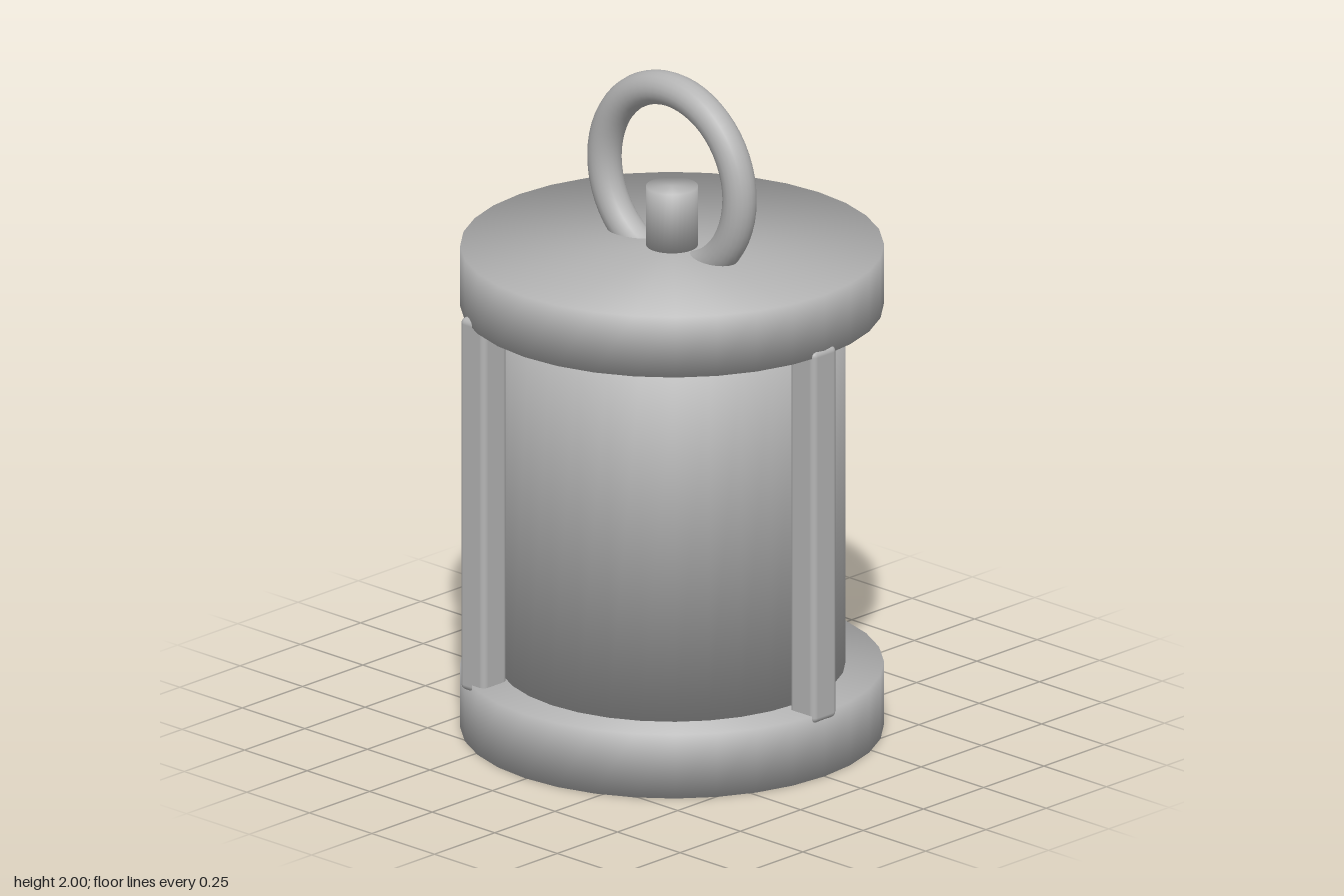
import * as THREE from 'three';
import { RoundedBoxGeometry } from 'three/addons/geometries/RoundedBoxGeometry.js';

const AXIS_X = -0.005; // the lantern axis, offset so the whole model is centred

export function createModel() {
  const group = new THREE.Group();
  const metal = new THREE.MeshStandardMaterial({ color: 0xb4b4b4 });
  metal.name = 'grey metal';

  function add(name, geometry, x, y, z) {
    const mesh = new THREE.Mesh(geometry, metal);
    mesh.name = name;
    mesh.position.set(x, y, z);
    group.add(mesh);
    return mesh;
  }

  // Cylinder whose rim normals blend the cap into the side for soft shading
  function softCylinder(name, radius, bottom, top) {
    const geometry = new THREE.CylinderGeometry(radius, radius, top - bottom, 32);
    const p = geometry.attributes.position;
    const n = geometry.attributes.normal;
    for (let i = 0; i < p.count; i++) {
      n.setXYZ(i,
        p.getX(i) / radius * Math.SQRT1_2,
        Math.sign(p.getY(i)) * Math.SQRT1_2,
        p.getZ(i) / radius * Math.SQRT1_2);
    }
    return add(name, geometry, AXIS_X, (bottom + top) / 2, 0);
  }

  // Base, glass body, lid and the stem on the lid
  softCylinder('base', 0.61, 0, 0.195);
  softCylinder('body', 0.5, 0.19, 1.295);
  softCylinder('lid', 0.61, 1.29, 1.475);
  softCylinder('stem', 0.075, 1.47, 1.655);

  // Carrying ring, sunk into the lid
  add('carryingRing', new THREE.TorusGeometry(0.27, 0.05, 20, 56), AXIS_X, 1.68, 0);

  // Three upright bars around the body, all square to the axes
  for (let i = 0; i < 3; i++) {
    const angle = i * Math.PI * 2 / 3;
    add('bar' + (i + 1), new RoundedBoxGeometry(0.1, 1.14, 0.1, 3, 0.018),
      AXIS_X + 0.565 * Math.cos(angle), 0.74, 0.565 * Math.sin(angle));
  }

  return group;
}
